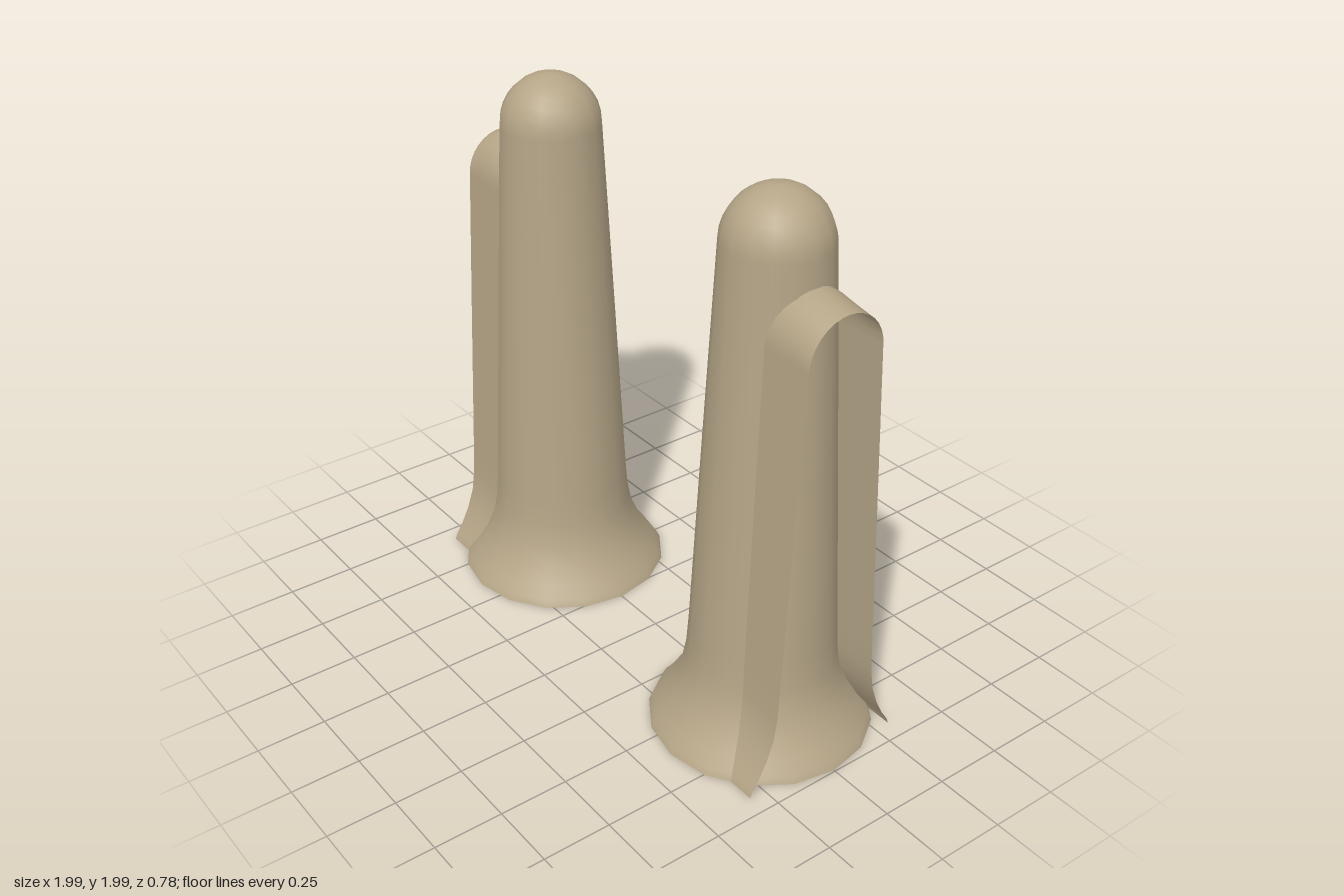
import * as THREE from 'three';

const material = new THREE.MeshStandardMaterial({ color: 0xb5a587, side: THREE.DoubleSide });
const CENTER = 0.605;

// flared foot and tapering side shared by column and arch: [radius, height]
const FOOT = [[0.39, 0], [0.378, 0.025], [0.345, 0.065], [0.305, 0.13], [0.275, 0.2], [0.26, 0.28], [0.253, 0.38]];

// quarter round from the side up to the crown
function quarter(radius, base, height, steps) {
  const points = [];
  for (let i = 0; i <= steps; i++) {
    const a = (i / steps) * Math.PI / 2;
    points.push([radius * Math.cos(a), base + height * Math.sin(a)]);
  }
  return points;
}

// round tapering column with a domed top
function makeColumn() {
  const points = [...FOOT, [0.217, 1.1], ...quarter(0.181, 1.8, 0.185, 8)];
  const profile = points.map(([r, y]) => new THREE.Vector2(Math.max(r, 0), y));
  const column = new THREE.Mesh(new THREE.LatheGeometry(profile, 16), material);
  column.name = 'column';
  return column;
}

// slightly recessed underside
function makeUnderside() {
  const disc = new THREE.CircleGeometry(0.376, 16);
  disc.rotateX(Math.PI / 2);
  const underside = new THREE.Mesh(disc, material);
  underside.position.y = 0.025;
  underside.name = 'underside';
  return underside;
}

// thin open archway reaching outward; sections are [outward offset, crown height]
function makeArch(side, sections) {
  const positions = [], indices = [];
  let count = 0;
  for (const [offset, crown] of sections) {
    const half = [
      ...FOOT.map(([r, y]) => [r * 0.795, y]),
      [0.172, 1.0],
      ...quarter(0.146, 1.54, crown - 1.54, 8),
    ];
    const mirrored = half.slice(0, -1).reverse().map(([z, y]) => [-z, y]);
    const outline = [...half, ...mirrored];
    count = outline.length;
    for (const [z, y] of outline) positions.push(side * offset, y, z);
  }
  for (let s = 0; s < sections.length - 1; s++) {
    for (let i = 0; i < count - 1; i++) {
      const a = s * count + i, b = a + 1, c = a + count, d = c + 1;
      if (side > 0) indices.push(a, c, b, b, c, d);
      else indices.push(a, b, c, b, d, c);
    }
  }
  const geometry = new THREE.BufferGeometry();
  geometry.setAttribute('position', new THREE.Float32BufferAttribute(positions, 3));
  geometry.setIndex(indices);
  geometry.computeVertexNormals();
  const arch = new THREE.Mesh(geometry, material);
  arch.name = 'arch';
  return arch;
}

export function createModel() {
  const model = new THREE.Group();
  model.name = 'twinTowers';
  const crowns = {
    left: [[0.05, 1.72], [0.2, 1.715], [0.325, 1.685]],
    right: [[0.05, 1.69], [0.18, 1.705], [0.245, 1.72], [0.325, 1.685]],
  };
  for (const side of [1, -1]) {
    const name = side > 0 ? 'left' : 'right';
    const tower = new THREE.Group();
    tower.name = name + 'Tower';
    tower.position.x = side * CENTER;
    tower.add(makeColumn(), makeUnderside(), makeArch(side, crowns[name]));
    model.add(tower);
  }
  return model;
}
